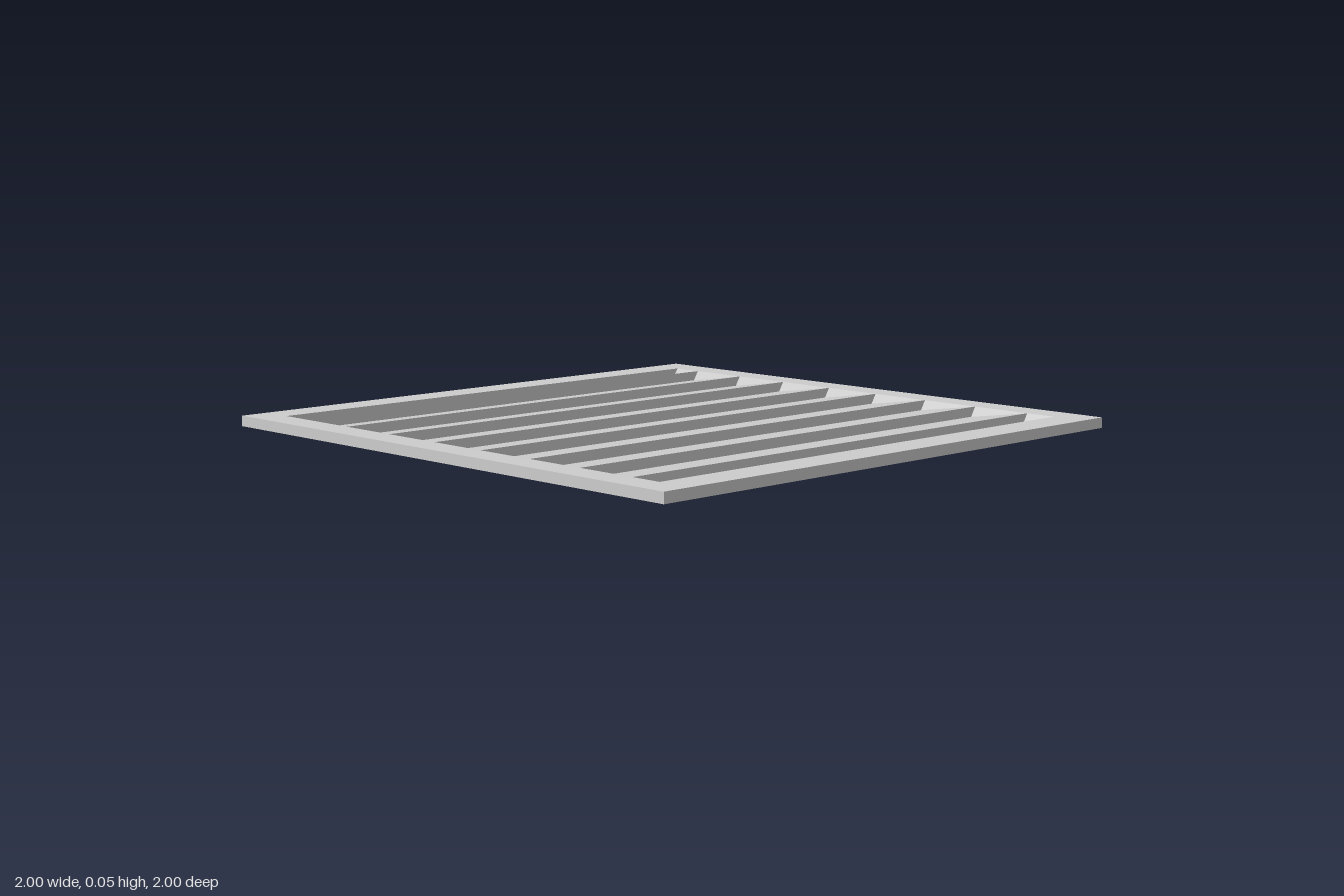
import * as THREE from 'three';

const TOP = 0.05, EDGE = 0.015;        // top face, lower edge of the rim
const FLOOR = 0.017, UNDER = 0.013;    // thin side of a blade, above and below
const ZO = 0.9, ZI = 0.88;             // louvre ends: top edge, inner edge
const X = [-0.89, -0.78, -0.56, -0.34, -0.115, 0.105, 0.33, 0.55, 0.77, 0.88];
const XL = X[0], XN = X[8], XR = X[9], LAST = 0.008;

const material = new THREE.MeshStandardMaterial({ color: 0xcccccc });

// Collects flat polygons, optionally mirrored front to back
function faceBuilder() {
  const pos = [];
  const face = (...p) => {
    for (let i = 1; i < p.length - 1; i++) pos.push(...p[0], ...p[i], ...p[i + 1]);
  };
  const both = (...p) => {
    face(...p);
    face(...p.map(([x, y, z]) => [x, y, -z]).reverse());
  };
  const mesh = (name) => {
    const g = new THREE.BufferGeometry();
    g.setAttribute('position', new THREE.Float32BufferAttribute(pos, 3));
    g.computeVertexNormals();
    const m = new THREE.Mesh(g, material);
    m.name = name;
    return m;
  };
  return { face, both, mesh };
}

// Square rim: flat top, upright sides, underside sloping down to the louvres
function buildFrame() {
  const { face, both, mesh } = faceBuilder();
  both([-1, TOP, 1], [1, TOP, 1], [XR, TOP, ZO], [XL, TOP, ZO]);
  face([-1, TOP, -1], [-1, TOP, 1], [XL, TOP, ZO], [XL, TOP, -ZO]);
  face([1, TOP, 1], [1, TOP, -1], [XR, TOP, -ZO], [XR, TOP, ZO]);

  both([-1, EDGE, 1], [1, EDGE, 1], [1, TOP, 1], [-1, TOP, 1]);
  face([1, EDGE, 1], [1, EDGE, -1], [1, TOP, -1], [1, TOP, 1]);
  face([-1, EDGE, -1], [-1, EDGE, 1], [-1, TOP, 1], [-1, TOP, -1]);

  both([XL, 0, ZI], [XN, 0, ZI], [1, EDGE, 1], [-1, EDGE, 1]);
  both([XN, 0, ZI], [XR, LAST, ZI], [1, EDGE, 1]);
  face([XL, 0, -ZI], [XL, 0, ZI], [-1, EDGE, 1], [-1, EDGE, -1]);
  face([XR, LAST, ZI], [XR, LAST, -ZI], [1, EDGE, -1], [1, EDGE, 1]);
  return mesh('frame');
}

// One wedge blade with the riser on its low side and its end walls
function buildBlade(x0, x1, bottom) {
  const { face, both, mesh } = faceBuilder();
  const xi = x1 - 0.045;
  const yi = FLOOR + (TOP - FLOOR) * (xi - x0) / (x1 - x0);
  // sloping top
  face([x0, FLOOR, ZI], [xi, yi, ZI], [xi, yi, -ZI], [x0, FLOOR, -ZI]);
  face([xi, yi, ZI], [x1, TOP, ZO], [x1, TOP, -ZO], [xi, yi, -ZI]);
  // end walls and riser
  both([x0, TOP, ZO], [x1, TOP, ZO], [xi, yi, ZI], [x0, FLOOR, ZI]);
  face([x0, FLOOR, ZI], [x0, FLOOR, -ZI], [x0, TOP, -ZO], [x0, TOP, ZO]);
  // underside with its step and ends
  face([x0, UNDER, -ZI], [x1, bottom, -ZI], [x1, bottom, ZI], [x0, UNDER, ZI]);
  face([x0, 0, ZI], [x0, 0, -ZI], [x0, UNDER, -ZI], [x0, UNDER, ZI]);
  both([x1, bottom, ZI], [x0, 0, ZI], [x0, UNDER, ZI]);
  return mesh('louvreBlade');
}

export function createModel() {
  const model = new THREE.Group();
  model.name = 'louvredPanel';
  model.add(buildFrame());
  const blades = new THREE.Group();
  blades.name = 'louvreBlades';
  for (let i = 0; i < X.length - 1; i++) {
    blades.add(buildBlade(X[i], X[i + 1], i === X.length - 2 ? LAST : 0));
  }
  model.add(blades);
  return model;
}
